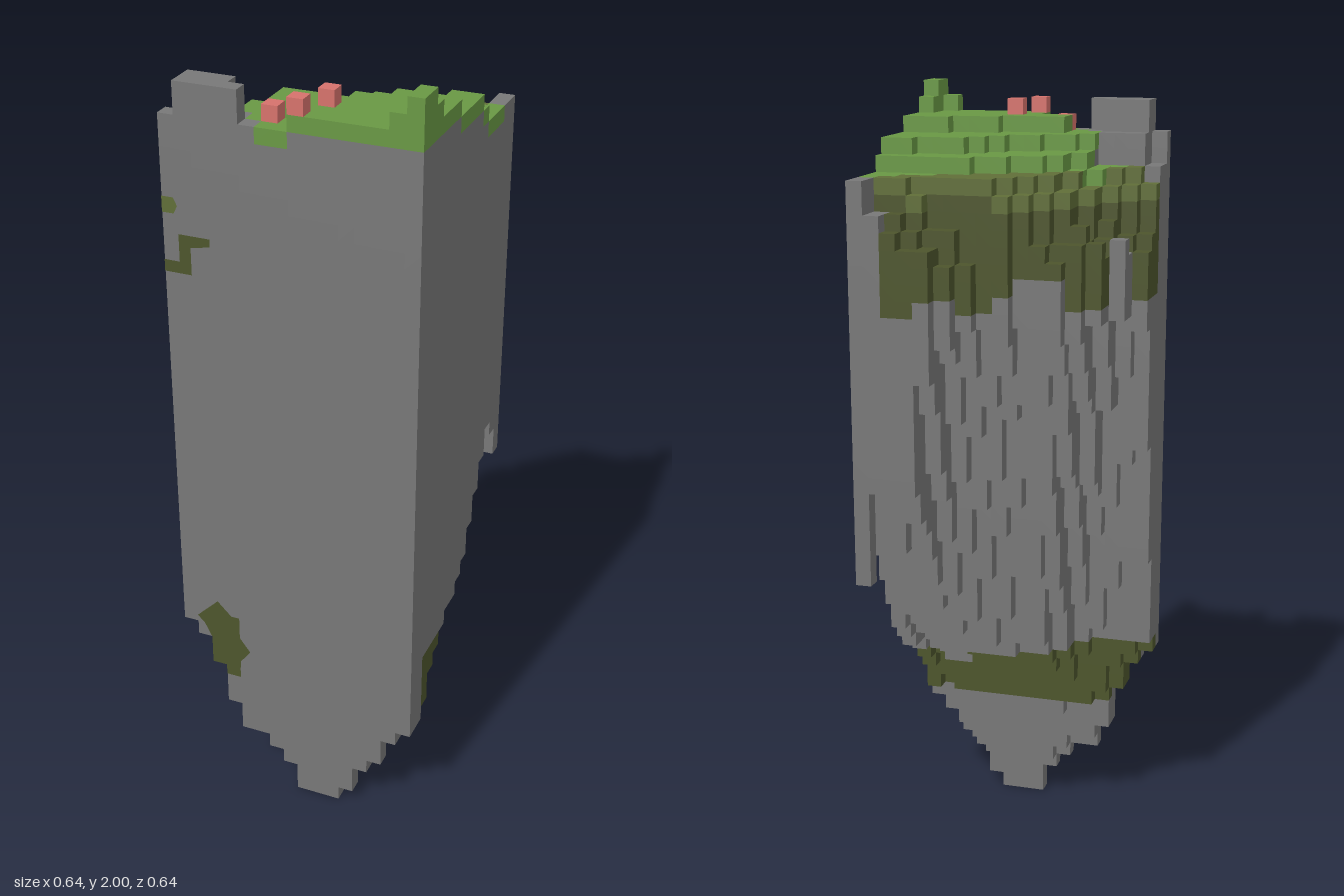
import * as THREE from 'three';

const U = 0.04, N = 16; // block size, blocks per side

// Staircase outlines: first block along x, one entry per row from back to front
const OUTER = [11, 10, 9, 7, 4, 3, 2, 2, 1, 1, 0, 0, 0, 0, 0, 0];
const OLIVE = [14, 14, 12, 7, 6, 5, 4, 4, 3, 3, 2, 1, 0, 0, 0, 0];
const GRASS = [16, 16, 15, 14, 12, 10, 8, 6, 5, 4, 3, 3, 2, 4, 5, 6];
const TERRACES = [
  [16, 16, 16, 16, 16, 10, 8, 6, 5, 5, 4, 4, 4, 4, 5, 6],
  [16, 16, 16, 16, 16, 16, 14, 11, 10, 9, 7, 5, 4, 4, 5, 6],
  [16, 16, 16, 16, 16, 16, 16, 16, 16, 16, 13, 10, 6, 6, 8, 8],
  [16, 16, 16, 16, 16, 16, 16, 16, 16, 16, 16, 16, 16, 15, 15, 14],
  [16, 16, 16, 16, 16, 16, 16, 16, 16, 16, 16, 16, 16, 16, 15, 15],
];
// Underside heights in blocks, along x at the front and along z at the right wall
const UNDER_X = [12, 11, 9, 6, 4, 4, 3, 2, 0, 0, 0, 1, 3, 4, 6, 7];
const UNDER_Z = [20, 22, 23, 21, 19, 17, 15, 14, 13, 13, 12, 11, 10, 7, 3, 0];

const hash = (i, k) => {
  const s = Math.sin(i * 12.99 + k * 78.23) * 43758.5;
  return s - Math.floor(s);
};

function topOf(i, k) {
  if (i >= GRASS[k]) return 45 + TERRACES.filter((t) => i >= t[k]).length;
  if (k >= 13) { // rock crown at the front corner
    if (i === 0) return k === 15 ? 47 : 45;
    if (k === 13 || i === 5) return 47;
    return i === 4 && k === 14 ? 47 : 49;
  }
  if (k < 2 && i >= 14) return i === 15 ? 45 : 43; // rock at the back corner
  if (i >= OLIVE[k]) return Math.min(45, 44 + i - OLIVE[k]);
  return Math.min(43, 40 + (i - OUTER[k]) + Math.floor(hash(i, k) * 2));
}

// Distance in blocks from a column to the curved outer edge
function edgeDistance(i, k) {
  let d = N;
  OUTER.forEach((start, row) => {
    if (start > 0) d = Math.min(d, Math.hypot(Math.max(0, i - start + 1), k - row));
  });
  return d - 1;
}

// The cliff narrows inward below the rim, least where it meets the flat walls
function bottomOf(i, k, top) {
  const p = i === N - 1 ? 5 : 2.5;
  const cone = (UNDER_X[i] ** p + UNDER_Z[k] ** p) ** (1 / p);
  const turn = Math.sin(2 * Math.atan2(N - i - 0.5, N - k - 0.5));
  const overhang = 22 + 14 * Math.min(1, 1.4 * turn) - 5.5 * edgeDistance(i, k);
  const strand = k === 0 && i < 15 ? 6 : 0;
  const ragged = hash(k, i) * 1.6 - 0.8;
  return Math.min(top - 3, Math.round(Math.max(cone + strand, overhang + ragged)));
}

function lowMoss(i, j, k) {
  if (k === N - 1) return (i === 2 || i === 3) && j >= 9 && j < 13;
  if (i === N - 1) return k >= 11 && k <= 13 && j >= 8 && j < 12;
  return j >= 8 && j < 13 && hash(i >> 1, (k >> 1) + 9) > 0.12;
}

function partAt(i, j, k, top) {
  if (i >= GRASS[k]) {
    if (j >= Math.min(top - 1, 47)) return 'grassTop';
  } else if (k < 13 && !(k < 2 && i >= 14) && !(i === 1 && (k === 8 || k === 9))) {
    if (i >= OLIVE[k] && j >= top - 1) return 'oliveMoss';
    if (j >= 37 + Math.floor(hash(i >> 1, k >> 1) * 3)) return 'darkMossRim';
  }
  return lowMoss(i, j, k) ? 'darkMossBand' : 'rockCliff';
}

// One mesh from the exposed faces of a part's blocks
function blockMesh(name, cells, filled, material) {
  const pos = [], nor = [], idx = [];
  for (const c of cells) {
    for (let axis = 0; axis < 3; axis++) {
      for (const s of [-1, 1]) {
        const n = [0, 0, 0];
        n[axis] = s;
        if (filled(c[0] + n[0], c[1] + n[1], c[2] + n[2])) continue;
        const a = (axis + 1) % 3, b = (axis + 2) % 3, base = pos.length / 3;
        for (const [p, q] of [[0, 0], [1, 0], [1, 1], [0, 1]]) {
          const v = [...c];
          v[axis] += s > 0 ? 1 : 0;
          v[a] += p;
          v[b] += q;
          pos.push((v[0] - N / 2) * U, v[1] * U, (v[2] - N / 2) * U);
          nor.push(...n);
        }
        const order = s > 0 ? [0, 1, 2, 0, 2, 3] : [0, 2, 1, 0, 3, 2];
        idx.push(...order.map((o) => base + o));
      }
    }
  }
  const g = new THREE.BufferGeometry();
  g.setAttribute('position', new THREE.Float32BufferAttribute(pos, 3));
  g.setAttribute('normal', new THREE.Float32BufferAttribute(nor, 3));
  g.setIndex(idx);
  const mesh = new THREE.Mesh(g, material);
  mesh.name = name;
  return mesh;
}

export function createModel() {
  const mat = (name, color) => {
    const m = new THREE.MeshStandardMaterial({ color });
    m.name = name;
    return m;
  };
  const rock = mat('rock grey', 0x787878), grass = mat('grass green', 0x699844);
  const olive = mat('olive moss', 0x606e38), dark = mat('dark moss', 0x4d552c);
  const pink = mat('flower pink', 0xd6726c);
  const partMaterial = {
    rockCliff: rock, grassTop: grass, oliveMoss: olive,
    darkMossRim: dark, darkMossBand: dark, flowers: pink,
  };
  const group = new THREE.Group();
  group.name = 'cliffCorner';

  // Fill the columns block by block
  const solid = new Set();
  const key = (i, j, k) => (i < 0 || k < 0 || i >= N || k >= N || j < 0 ? -1 : (j * N + k) * N + i);
  const parts = Object.fromEntries(Object.keys(partMaterial).map((n) => [n, []]));
  const put = (part, i, j, k) => {
    solid.add(key(i, j, k));
    parts[part].push([i, j, k]);
  };
  for (let k = 0; k < N; k++) {
    for (let i = OUTER[k]; i < N; i++) {
      const top = topOf(i, k);
      for (let j = bottomOf(i, k, top); j < top; j++) put(partAt(i, j, k, top), i, j, k);
    }
  }
  // Flowers standing on the grass
  for (const [i, k] of [[6, 14], [9, 13], [8, 15]]) put('flowers', i, topOf(i, k), k);

  const filled = (i, j, k) => solid.has(key(i, j, k));
  for (const [name, cells] of Object.entries(parts)) {
    group.add(blockMesh(name, cells, filled, partMaterial[name]));
  }

  // Flat moss patches on the front wall
  const patch = (name, material, points) => {
    const shape = new THREE.Shape(points.map(([x, y]) => new THREE.Vector2(x, y)));
    const mesh = new THREE.Mesh(new THREE.ShapeGeometry(shape), material);
    mesh.name = name;
    mesh.position.z = 0.322;
    group.add(mesh);
  };
  patch('lowerMossPatch', dark, [[-0.28, 0.5], [-0.24, 0.54], [-0.22, 0.56], [-0.16, 0.5], [-0.16, 0.46],
    [-0.13, 0.42], [-0.16, 0.38], [-0.16, 0.33], [-0.2, 0.33], [-0.2, 0.36], [-0.24, 0.36], [-0.24, 0.44], [-0.26, 0.48]]);
  patch('upperMossPatch', dark, [[-0.28, 1.59], [-0.2, 1.59], [-0.2, 1.57], [-0.25, 1.56], [-0.25, 1.49],
    [-0.32, 1.49], [-0.32, 1.52], [-0.28, 1.52]]);
  patch('smallMossSpot', olive, [[-0.32, 1.64], [-0.29, 1.64], [-0.28, 1.66], [-0.29, 1.68], [-0.32, 1.68]]);
  return group;
}
